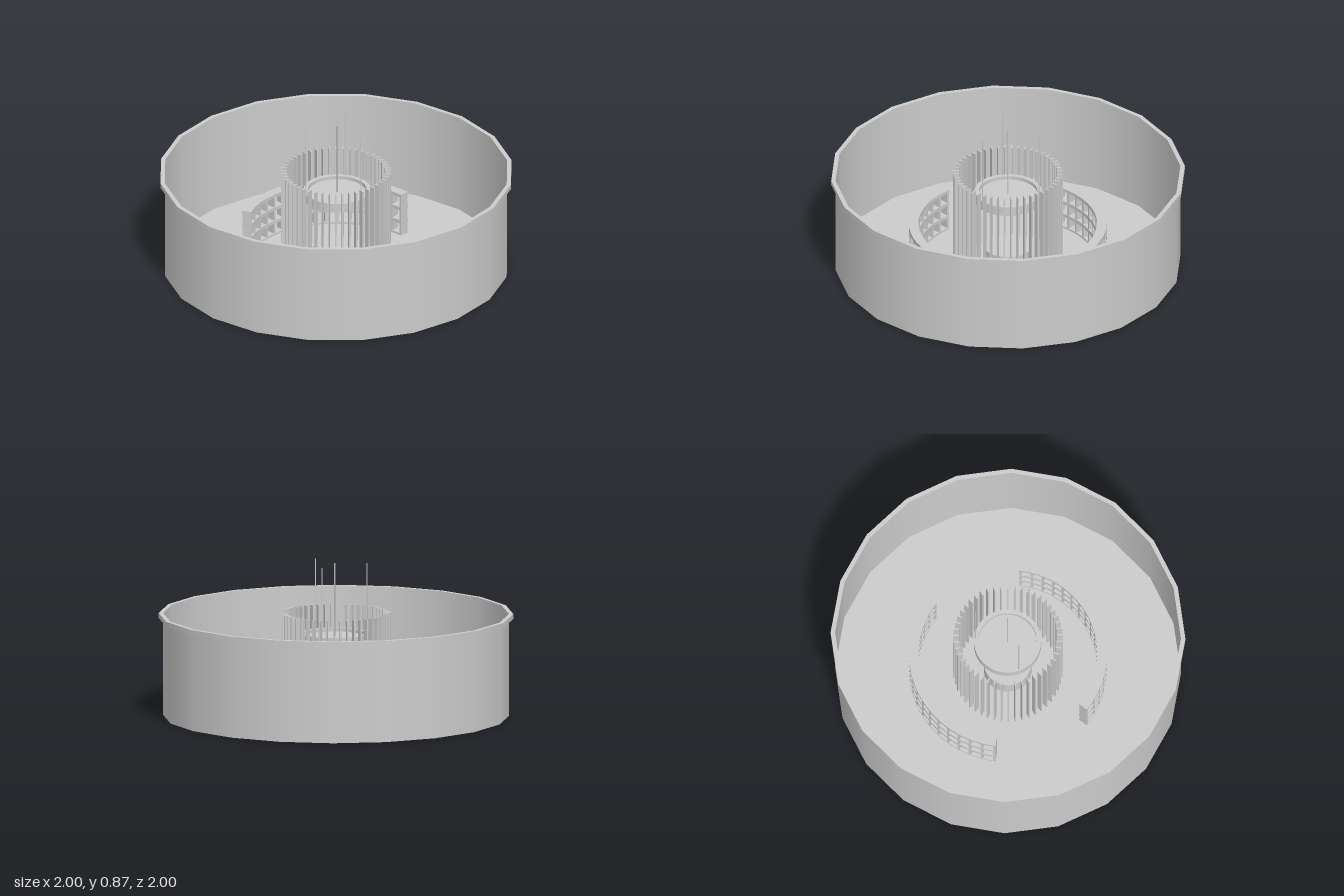
import * as THREE from 'three';

const SIDES = 20;
const grey = new THREE.MeshStandardMaterial({ color: 0xcccccc, side: THREE.DoubleSide });

function add(parent, name, geometry, x = 0, y = 0, z = 0) {
  const mesh = new THREE.Mesh(geometry, grey);
  mesh.name = name;
  mesh.position.set(x, y, z);
  parent.add(mesh);
  return mesh;
}

// Upright wall between two radii/heights, smooth around
function band(r1, y1, r2, y2, segments = SIDES) {
  return new THREE.LatheGeometry([new THREE.Vector2(r1, y1), new THREE.Vector2(r2, y2)], segments);
}

// Flat ring sector of given thickness, standing on y = 0
function arcSlab(inner, outer, start, end, height) {
  const shape = new THREE.Shape();
  shape.absarc(0, 0, outer, start, end, false);
  shape.absarc(0, 0, inner, end, start, true);
  shape.closePath();
  const g = new THREE.ExtrudeGeometry(shape, { depth: height, bevelEnabled: false, curveSegments: 32 });
  return g.rotateX(-Math.PI / 2);
}

function createPan() {
  const pan = new THREE.Group();
  pan.name = 'pan';
  add(pan, 'panWall', band(0.975, 0.003, 0.975, 0.585));
  add(pan, 'panFloor', new THREE.CylinderGeometry(0.975, 0.975, 0.006, SIDES), 0, 0.006, 0);
  // Projecting lip
  add(pan, 'rimOuter', band(1, 0.557, 1, 0.585));
  add(pan, 'rimTop', band(1, 0.585, 0.975, 0.585));
  add(pan, 'rimUnderside', band(0.975, 0.557, 1, 0.557));
  return pan;
}

// Cage of radial upright fins
function createFinCage() {
  const cage = new THREE.Group();
  cage.name = 'finCage';
  const count = 48;
  const fin = new THREE.BoxGeometry(0.032, 0.591, 0.008);
  for (let i = 0; i < count; i++) {
    const a = (i / count) * Math.PI * 2;
    add(cage, 'fin', fin, Math.cos(a) * 0.293, 0.2955, Math.sin(a) * 0.293).rotation.y = -a;
  }
  return cage;
}

// Curved open rack: arc shelves joined by radial ribs
function createRack() {
  const rack = new THREE.Group();
  rack.name = 'curvedRack';
  const inner = 0.503, outer = 0.558, sweep = Math.PI * 2 / 3, height = 0.265, plate = 0.02;
  const shelf = arcSlab(inner, outer, 0, sweep, plate);
  for (let i = 0; i < 4; i++) add(rack, 'rackShelf', shelf, 0, i * (height - plate) / 3, 0);
  const rib = new THREE.BoxGeometry(outer - inner - 0.004, height - 0.004, 0.014);
  const mid = (inner + outer) / 2, ribs = 17, inset = 0.014;
  for (let i = 0; i < ribs; i++) {
    const a = inset + (sweep - 2 * inset) * i / (ribs - 1);
    add(rack, 'rackRib', rib, Math.cos(a) * mid, height / 2, -Math.sin(a) * mid).rotation.y = a;
  }
  return rack;
}

// Shallow tray hung inside the cage on three wires, with a centre wire
function createHangingTray() {
  const tray = new THREE.Group();
  tray.name = 'hangingTray';
  add(tray, 'trayWall', band(0.19, 0.42, 0.19, 0.475, 40));
  add(tray, 'trayInnerWall', band(0.165, 0.45, 0.165, 0.475, 40));
  add(tray, 'trayRim', band(0.19, 0.475, 0.165, 0.475, 40));
  add(tray, 'trayFloor', new THREE.CylinderGeometry(0.165, 0.165, 0.01, 40), 0, 0.45, 0);
  add(tray, 'trayUnderside', band(0.19, 0.42, 0.165, 0.42, 40));
  add(tray, 'trayLowerWall', band(0.165, 0.42, 0.165, 0.45, 40));

  const top = 0.872, bottom = 0.45;
  const wire = new THREE.CylinderGeometry(0.003, 0.003, top - bottom, 6);
  add(tray, 'centreWire', wire, 0, (top + bottom) / 2, 0);
  for (let i = 0; i < 3; i++) {
    const a = Math.PI / 2 + i * Math.PI * 2 / 3;
    add(tray, 'hangerWire', wire, Math.cos(a) * 0.178, (top + bottom) / 2, Math.sin(a) * 0.19);
  }
  return tray;
}

export function createModel() {
  const model = new THREE.Group();
  model.name = 'finnedPan';
  model.add(createPan(), createFinCage());

  // Two racks, half a turn apart
  for (let i = 0; i < 2; i++) {
    const rack = createRack();
    rack.rotation.y = i * Math.PI;
    rack.position.set(0.005, 0, 0.006);
    model.add(rack);
  }

  const tray = createHangingTray();
  tray.position.set(0.006, 0, 0.004);
  model.add(tray);

  // Low drum in the middle of the floor
  add(model, 'centreDrum', new THREE.CylinderGeometry(0.135, 0.135, 0.12, 32), 0.005, 0.06, 0.004);
  return model;
}
